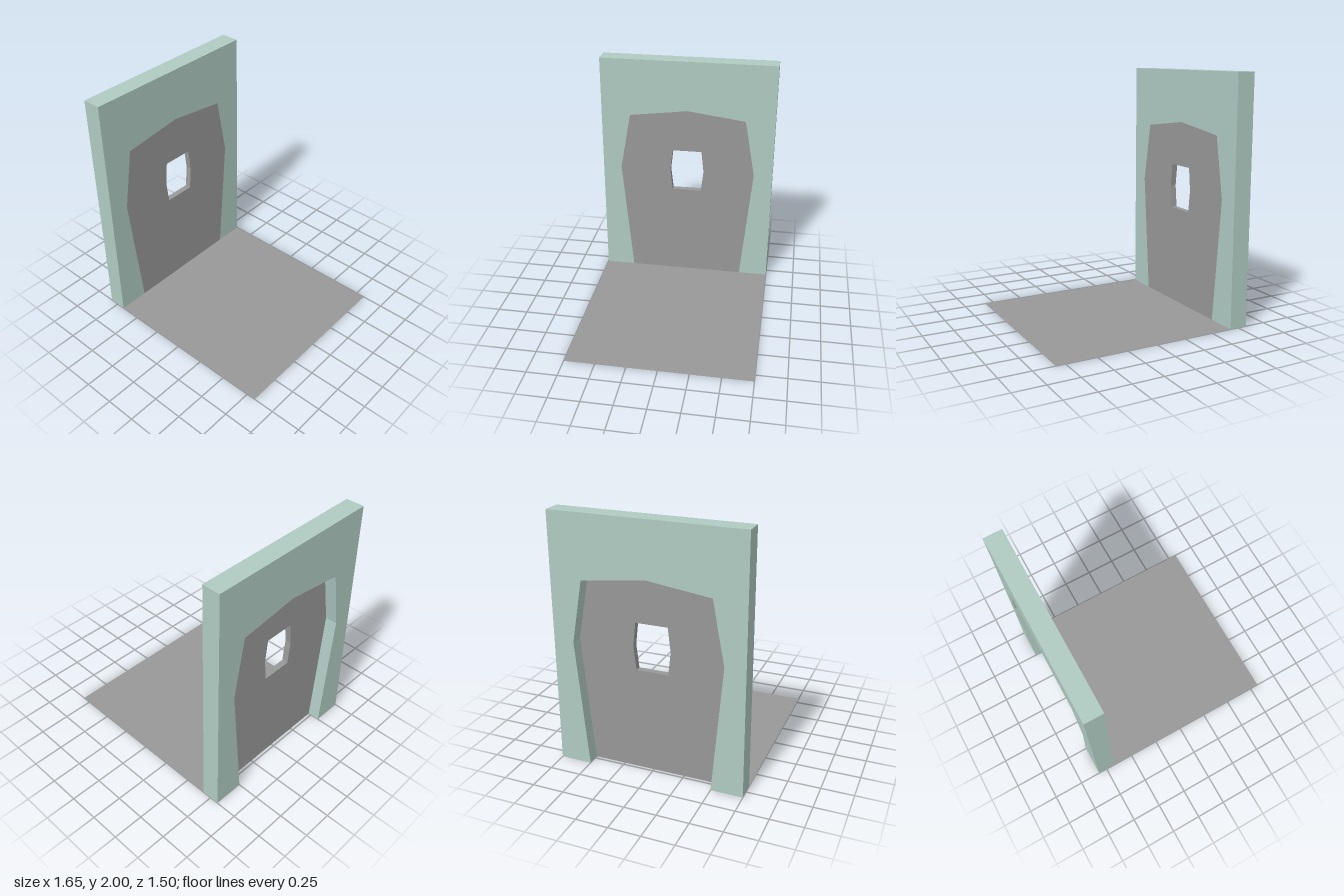
import * as THREE from 'three';

const FRONT_X = -0.675; // inner face of the wall, flush with the door

// Closed outline from half-width/height pairs, mirrored about the centre line
function mirroredPoints(half) {
  const right = half.map(([w, y]) => new THREE.Vector2(w, y));
  const left = half.filter(([w]) => w > 0).reverse().map(([w, y]) => new THREE.Vector2(-w, y));
  return [...right, ...left];
}

// Upright slab facing +x, ending at FRONT_X
function slab(name, outline, hole, thickness, material) {
  const shape = new THREE.Shape(outline);
  if (hole) shape.holes.push(new THREE.Path(hole));
  const geometry = new THREE.ExtrudeGeometry(shape, { depth: thickness, bevelEnabled: false });
  geometry.rotateY(Math.PI / 2);
  geometry.translate(FRONT_X - thickness, 0, 0);
  const mesh = new THREE.Mesh(geometry, material);
  mesh.name = name;
  return mesh;
}

export function createModel() {
  const group = new THREE.Group();
  group.name = 'doorwayWithFloor';

  const green = new THREE.MeshStandardMaterial({ color: 0xb0cbc3 });
  const grey = new THREE.MeshStandardMaterial({ color: 0x989898 });
  const floorGrey = new THREE.MeshStandardMaterial({ color: 0x989898, side: THREE.DoubleSide });

  const doorHalf = [[0.5, 0], [0.59, 1.01], [0.5, 1.505], [0, 1.57]];
  const windowHalf = [[0.127, 0.825], [0.148, 1.01], [0.127, 1.2]];
  const door = mirroredPoints(doorHalf);

  // Wall: a rectangle whose lower edge follows the doorway
  const wall = [
    ...[[-0.75, 0], [-0.75, 2], [0.75, 2], [0.75, 0]].map(([z, y]) => new THREE.Vector2(z, y)),
    ...door,
  ];
  group.add(slab('wall', wall, null, 0.15, green));

  // Thin door, recessed on the outer side, with a window opening
  group.add(slab('door', door, mirroredPoints(windowHalf), 0.05, grey));

  // Flat floor sheet
  const floorGeometry = new THREE.PlaneGeometry(1.5, 1.5);
  floorGeometry.rotateX(-Math.PI / 2);
  const floor = new THREE.Mesh(floorGeometry, floorGrey);
  floor.name = 'floor';
  floor.position.x = FRONT_X + 0.75;
  group.add(floor);

  return group;
}
